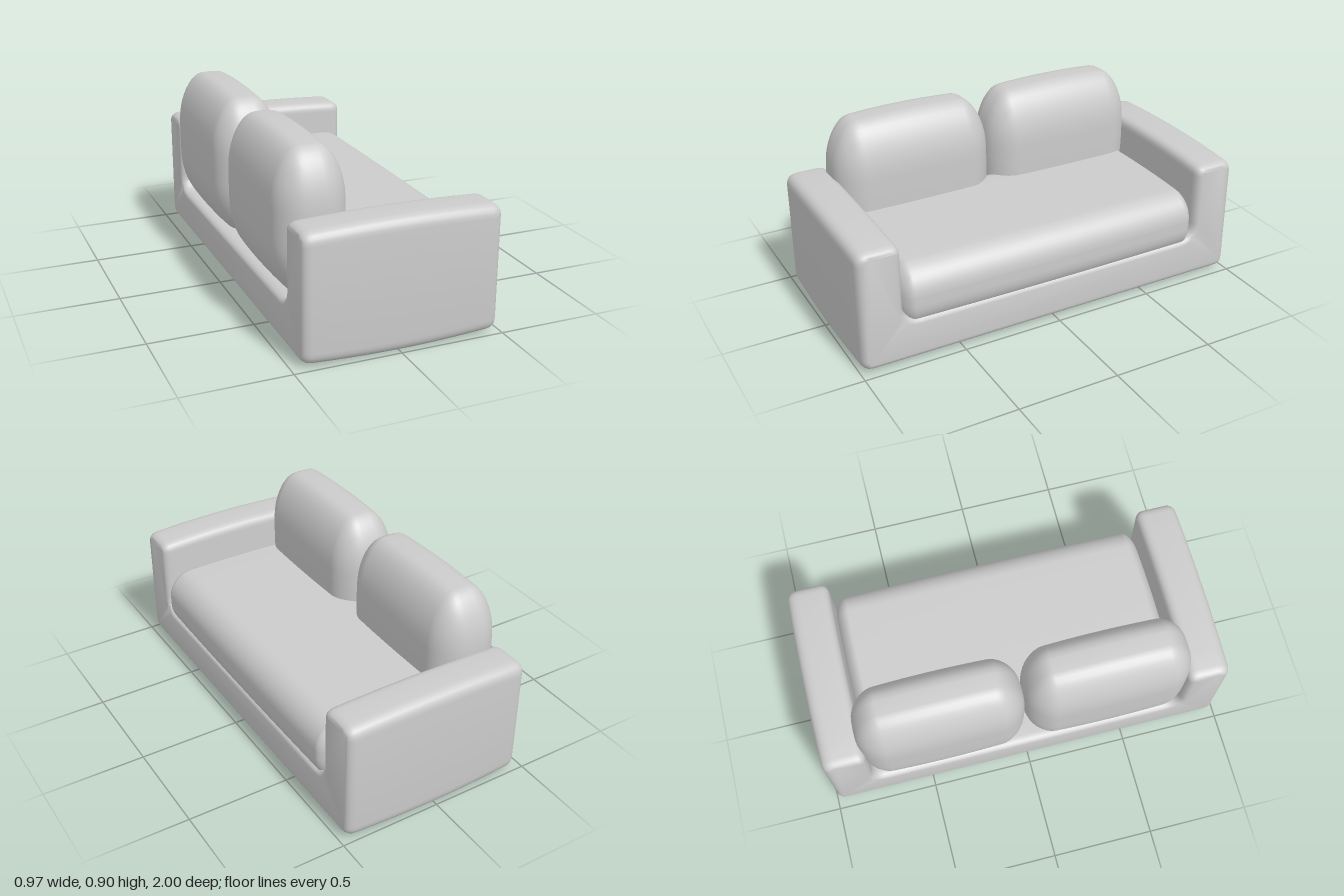
import * as THREE from 'three';
import { mergeVertices, toCreasedNormals } from 'three/addons/utils/BufferGeometryUtils.js';

const material = new THREE.MeshStandardMaterial({ color: 0xcccccc });

// Soft cushion: box with elliptical edge radii and gently crowned faces
function cushionGeometry(half, radii, bulge) {
  const geo = new THREE.BoxGeometry(2, 2, 2, 20, 20, 20);
  geo.deleteAttribute('uv');
  geo.deleteAttribute('normal');
  const pos = geo.attributes.position;
  const v = new THREE.Vector3();
  for (let i = 0; i < pos.count; i++) {
    const u = v.fromBufferAttribute(pos, i).toArray();
    // outer half of each axis wraps the edge, inner half spans the face
    const t = u.map(c => Math.tan(Math.max(0, Math.abs(c) * 2 - 1) * Math.PI / 4));
    const len = Math.hypot(...t);
    const p = u.map((c, k) => Math.sign(c) *
      ((half[k] - radii[k]) * Math.min(1, Math.abs(c) * 2) + radii[k] * t[k] / len));
    const q = p.map((c, k) => (c / half[k]) ** 2);
    const sum = q[0] + q[1] + q[2];
    pos.setXYZ(i, ...p.map((c, k) => c * (1 - bulge * (sum - q[k]))));
  }
  const merged = mergeVertices(geo, 1e-5);
  merged.computeVertexNormals();
  return merged;
}

// Closed shape with every corner rounded: points are [x, y, radius]
function roundedShape(points) {
  const shape = new THREE.Shape();
  const n = points.length;
  points.forEach(([x, y, r], i) => {
    const corner = new THREE.Vector2(x, y);
    const toward = ([a, b]) => new THREE.Vector2(a, b).sub(corner).setLength(r).add(corner);
    const a = toward(points[(i + n - 1) % n]);
    const b = toward(points[(i + 1) % n]);
    if (i === 0) shape.moveTo(a.x, a.y);
    else shape.lineTo(a.x, a.y);
    shape.quadraticCurveTo(x, y, b.x, b.y);
  });
  shape.closePath();
  return shape;
}

// U-shaped body: base and both arms in one piece
function frameGeometry() {
  const halfDepth = 0.465, bevel = 0.045, height = 0.625;
  const shape = roundedShape([
    [-1, 0, 0.06], [1, 0, 0.06], [1, height, 0.06], [0.79, height, 0.05],
    [0.79, 0.22, 0.08], [-0.79, 0.22, 0.08], [-0.79, height, 0.05], [-1, height, 0.06],
  ]);
  const geo = new THREE.ExtrudeGeometry(shape, {
    depth: 2 * (halfDepth - bevel), steps: 10, curveSegments: 6,
    bevelThickness: bevel, bevelSize: 0.03, bevelOffset: -0.03, bevelSegments: 5,
  });
  geo.translate(0, 0, bevel - halfDepth);
  geo.rotateY(Math.PI / 2);
  // crown the top, underside and outer sides slightly
  const pos = geo.attributes.position;
  const mid = height / 2;
  for (let i = 0; i < pos.count; i++) {
    const s = (pos.getX(i) / halfDepth) ** 2;
    pos.setY(i, mid + (pos.getY(i) - mid) * (1 - 0.05 * s));
    pos.setZ(i, pos.getZ(i) * (1 - 0.006 * s));
  }
  return toCreasedNormals(geo, 0.7);
}

export function createModel() {
  const sofa = new THREE.Group();
  sofa.name = 'sofa';
  const add = (name, geo, x, y, z) => {
    const mesh = new THREE.Mesh(geo, material);
    mesh.name = name;
    mesh.position.set(x, y, z);
    sofa.add(mesh);
  };

  add('frame', frameGeometry(), 0.01, 0, 0);

  // Single long seat cushion, facing +x
  add('seatCushion', cushionGeometry([0.4, 0.16, 0.8], [0.12, 0.13, 0.06], 0.015), 0.085, 0.31, 0);

  // Pair of back cushions
  const back = cushionGeometry([0.175, 0.35, 0.407], [0.13, 0.25, 0.12], 0.05);
  for (const side of [-1, 1]) {
    add(side > 0 ? 'backCushionFront' : 'backCushionRear', back, -0.31, 0.55, side * 0.407);
  }
  return sofa;
}
